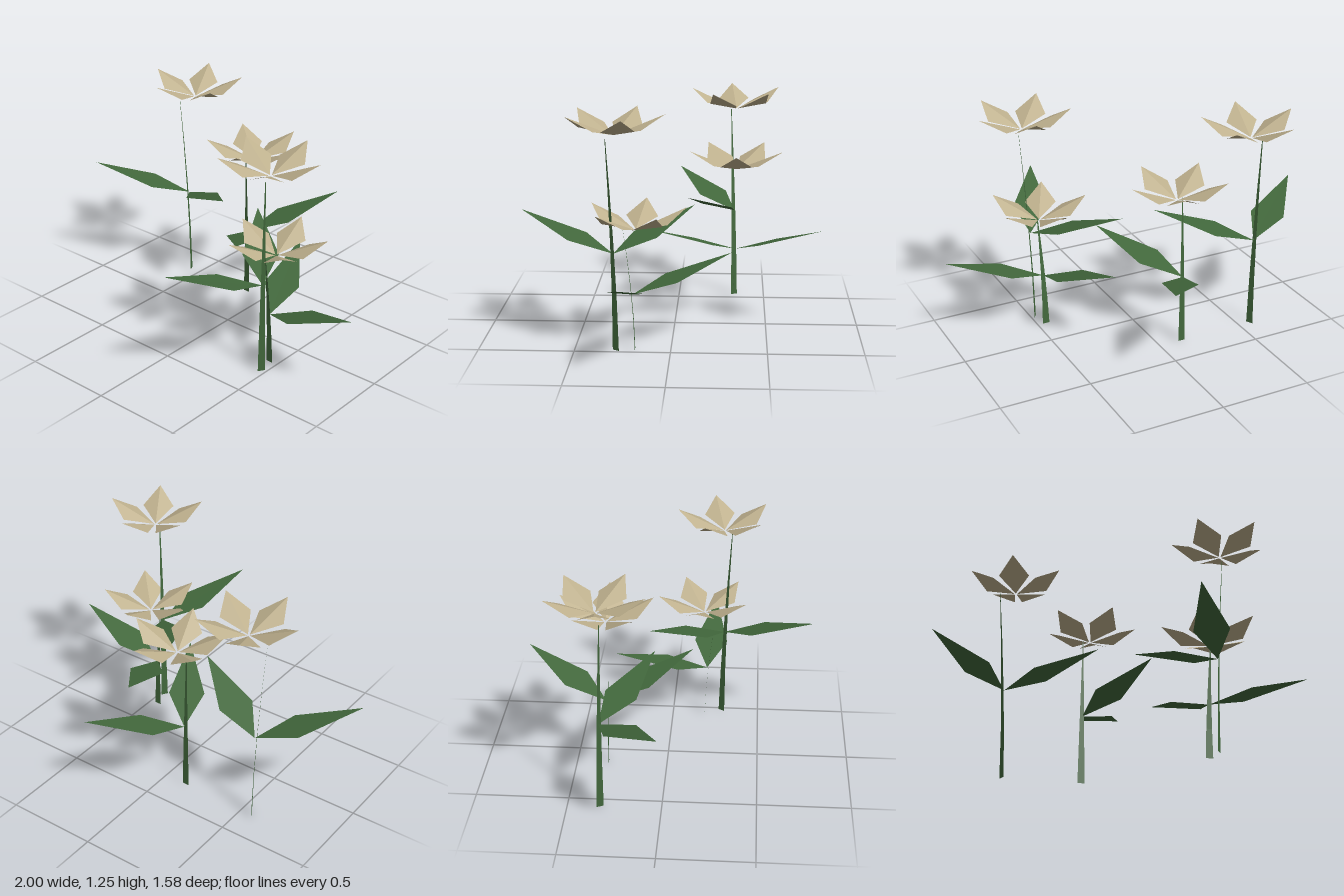
import * as THREE from 'three';

const petalMat = new THREE.MeshStandardMaterial({ color: 0xbfb18e, side: THREE.DoubleSide });
petalMat.name = 'cream petal';
const leafMat = new THREE.MeshStandardMaterial({ color: 0x42683c, side: THREE.DoubleSide });
leafMat.name = 'leaf green';

// surface from points and triangles, faceted
function surface(points, index) {
  const g = new THREE.BufferGeometry();
  g.setAttribute('position', new THREE.Float32BufferAttribute(points.flat(), 3));
  g.setIndex(index);
  const flat = g.toNonIndexed();
  flat.computeVertexNormals();
  return flat;
}

// four-cornered blade pointing along +x, split along its midline
function blade(start, sideX, sideY, half, tipX, tipY) {
  return surface(
    [[start, 0, 0], [sideX, sideY, half], [tipX, tipY, 0], [sideX, sideY, -half]],
    [0, 1, 2, 0, 2, 3]);
}

// thin tapering ribbon that leans over towards its top
function ribbon(base, top, height, angle, width) {
  const pts = [], index = [], n = 4;
  for (let i = 0; i <= n; i++) {
    const t = i / n, bend = Math.pow(t, 1.6);
    const half = THREE.MathUtils.lerp(width, 0.004, t) / 2;
    const x = THREE.MathUtils.lerp(base[0], top[0], bend);
    const z = THREE.MathUtils.lerp(base[1], top[1], bend);
    const dx = Math.cos(angle) * half, dz = Math.sin(angle) * half;
    pts.push([x - dx, t * height, z - dz], [x + dx, t * height, z + dz]);
    if (i < n) {
      const a = i * 2;
      index.push(a, a + 1, a + 3, a, a + 3, a + 2);
    }
  }
  return surface(pts, index);
}

const rad = THREE.MathUtils.degToRad;

// positions are [x, z]; angles in degrees from +x towards +z
const plants = [
  { base: [-0.567, -0.325], top: [-0.618, -0.3], stemH: 1.1, turn: 63,
    head: [-0.525, -0.33], headY: 1.12, phase: 30, leafY: 0.51, leafAt: [-0.572, -0.322], leaves: [142.5, 28] },
  { base: [-0.133, -0.325], top: [-0.133, -0.31], stemH: 0.85, turn: 0,
    head: [-0.09, -0.33], headY: 0.853, phase: 0, leafY: 0.393, leafAt: [-0.13, -0.33], leaves: [-57.3, 57.3] },
  { base: [0.475, 0.285], top: [0.518, 0.325], stemH: 1.12, turn: -57,
    head: [0.515, 0.283], headY: 1.14, phase: -13, leafY: 0.52, leafAt: [0.482, 0.293], leaves: [113.5, 228] },
  { base: [0.45, 0.187], top: [0.46, 0.245], stemH: 0.645, turn: 0,
    head: [0.478, 0.178], headY: 0.648, phase: -27, leafY: 0.297, leafAt: [0.455, 0.197], leaves: [4, -111] },
];

export function createModel() {
  const model = new THREE.Group();
  model.name = 'flowers';
  const petalGeo = blade(0.008, 0.153, 0.038, 0.085, 0.264, 0.11);
  const leafGeo = blade(0, 0.21, 0.069, 0.096, 0.545, 0.178);

  const add = (parent, name, geo, mat) => {
    const m = new THREE.Mesh(geo, mat);
    m.name = name;
    parent.add(m);
    return m;
  };

  for (const p of plants) {
    const plant = new THREE.Group();
    plant.name = 'plant';
    model.add(plant);

    add(plant, 'stem', ribbon(p.base, p.top, p.stemH, rad(p.turn), 0.04), leafMat);

    // pair of leaves
    for (const a of p.leaves) {
      const leaf = add(plant, 'leaf', leafGeo, leafMat);
      leaf.position.set(p.leafAt[0], p.leafY, p.leafAt[1]);
      leaf.rotation.y = -rad(a);
    }

    // five-petalled bloom
    const bloom = new THREE.Group();
    bloom.name = 'bloom';
    bloom.position.set(p.head[0], p.headY, p.head[1]);
    plant.add(bloom);
    for (let i = 0; i < 5; i++) {
      add(bloom, 'petal', petalGeo, petalMat).rotation.y = -rad(p.phase + i * 72);
    }
  }
  return model;
}
